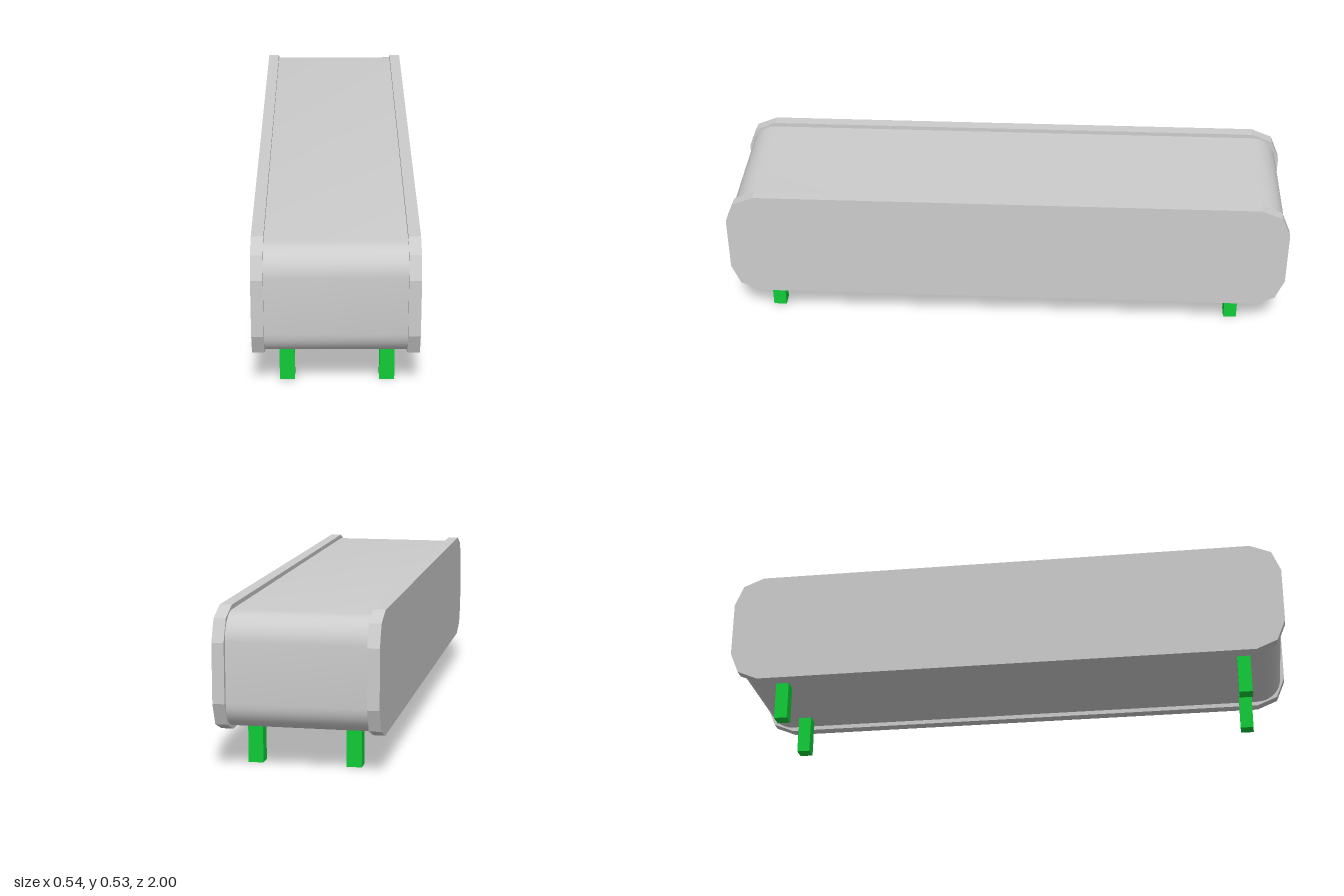
import * as THREE from 'three';
import { toCreasedNormals } from 'three/addons/utils/BufferGeometryUtils.js';

const grey = new THREE.MeshStandardMaterial({ color: 0xcccccc });
const green = new THREE.MeshStandardMaterial({ color: 0x10cc38 });

// Rounded side profile, extruded across x and centred on x = 0
function profileSolid(radius, segments, width) {
  const corners = [[0.895, 0.425], [-0.895, 0.425], [-0.895, 0.227], [0.895, 0.227]];
  const points = [];
  corners.forEach(([z, y], i) => {
    for (let s = 0; s <= segments; s++) {
      const a = (i + s / segments) * Math.PI / 2;
      points.push(new THREE.Vector2(z + radius * Math.cos(a), y + radius * Math.sin(a)));
    }
  });
  const geometry = new THREE.ExtrudeGeometry(new THREE.Shape(points), {
    depth: width, bevelEnabled: false, steps: 1,
  });
  return geometry.translate(0, 0, -width / 2).rotateY(-Math.PI / 2);
}

export function createModel() {
  const model = new THREE.Group();
  const add = (name, geometry, material, x = 0, y = 0, z = 0) => {
    const mesh = new THREE.Mesh(geometry, material);
    mesh.name = name;
    mesh.position.set(x, y, z);
    model.add(mesh);
  };

  // Smooth belt between the side plates
  add('belt', toCreasedNormals(profileSolid(0.09, 8, 0.46), 0.6), grey);

  // Faceted side plates
  const plate = profileSolid(0.105, 2, 0.04);
  add('leftSidePlate', plate, grey, 0.25);
  add('rightSidePlate', plate, grey, -0.25);

  // Four square legs
  const leg = new THREE.BoxGeometry(0.05, 0.145, 0.047);
  for (const [side, x] of [['Left', 0.168], ['Right', -0.16]]) {
    for (const [end, z] of [['front', 0.85], ['back', -0.824]]) {
      add(`${end}${side}Leg`, leg, green, x, 0.0725, z);
    }
  }
  return model;
}
